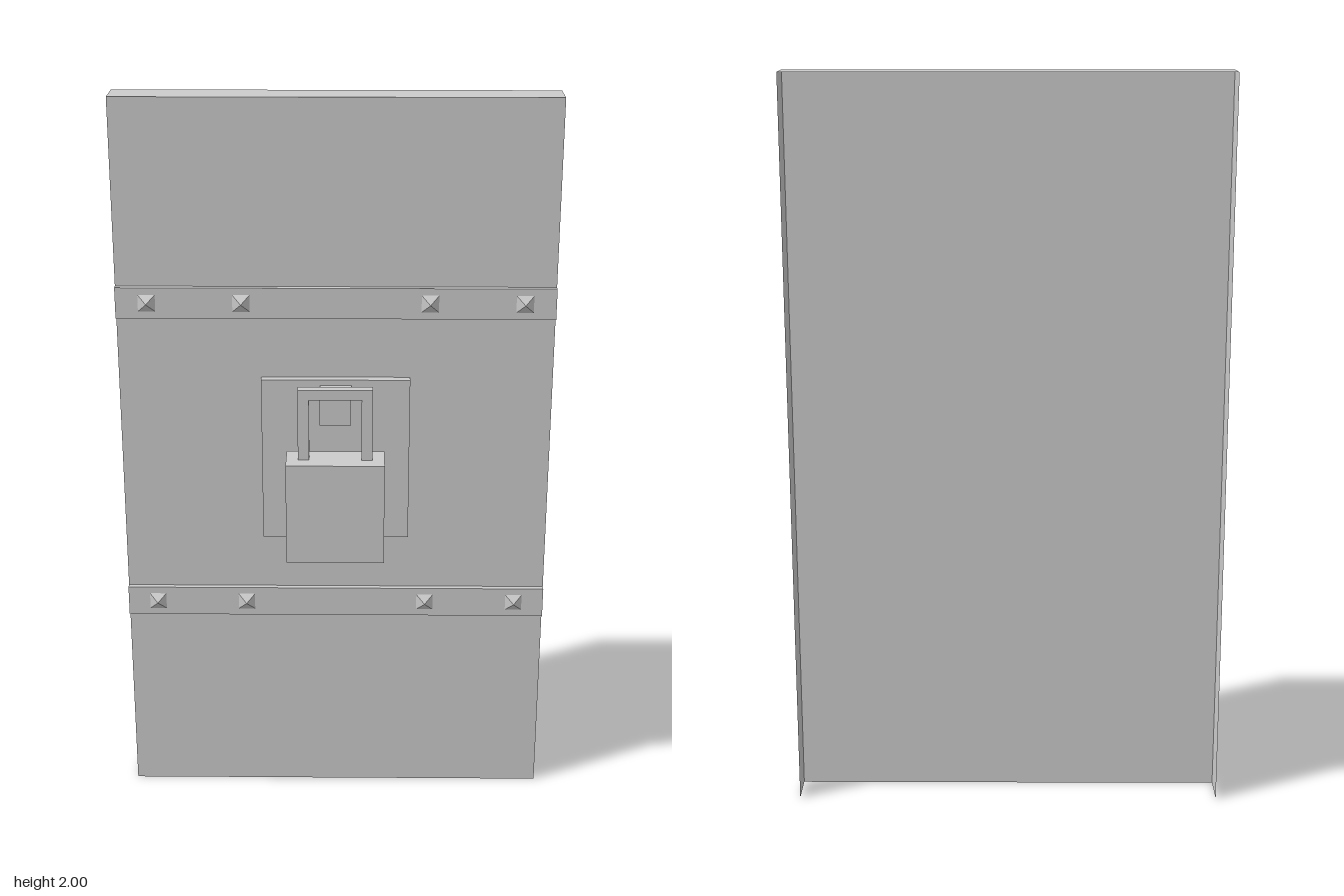
import * as THREE from 'three';

export function createModel() {
  const model = new THREE.Group();
  model.name = 'padlockedDoor';
  const grey = new THREE.MeshStandardMaterial({ color: 0xcccccc, side: THREE.DoubleSide });
  grey.name = 'plain grey';

  const add = (name, geometry, x = 0, y = 0, z = 0, parent = model) => {
    const mesh = new THREE.Mesh(geometry, grey);
    mesh.name = name;
    mesh.position.set(x, y, z);
    parent.add(mesh);
    return mesh;
  };
  // Box given by its width and its y and z ranges, centred on x
  const slab = (name, width, y0, y1, z0, z1, parent) =>
    add(name, new THREE.BoxGeometry(width, y1 - y0, z1 - z0), 0, (y0 + y1) / 2, (z0 + z1) / 2, parent);

  // Door: a thin shell, open at the back and bottom
  const W = 1.166, H = 2, front = -0.025, back = -0.125, depth = front - back;
  const mid = (front + back) / 2;
  const door = new THREE.Group();
  door.name = 'door';
  model.add(door);
  add('doorFront', new THREE.PlaneGeometry(W, H), 0, H / 2, front, door);
  add('doorTop', new THREE.PlaneGeometry(W, depth), 0, H, mid, door).rotation.x = -Math.PI / 2;
  for (const side of [-1, 1]) {
    add(side > 0 ? 'doorLeftEdge' : 'doorRightEdge', new THREE.PlaneGeometry(depth, H),
      side * W / 2, H / 2, mid, door).rotation.y = side * Math.PI / 2;
  }

  // Straps with four pyramid studs each
  const stud = new THREE.ConeGeometry(0.023 * Math.SQRT2, 0.016, 4, 1, true).toNonIndexed();
  stud.rotateY(Math.PI / 4).rotateX(Math.PI / 2);
  stud.computeVertexNormals();
  for (const [name, y] of [['upper', 1.46], ['lower', 0.586]]) {
    slab(name + 'Strap', W, y - 0.042, y + 0.042, front, -0.009);
    for (const x of [-0.5, -0.25, 0.25, 0.5]) add(name + 'Stud', stud, x, y, -0.001);
  }

  // Lock plate and the staple standing out from it
  slab('lockPlate', 0.4, 0.79, 1.25, front, 0);
  slab('staple', 0.084, 1.14, 1.235, 0, 0.052);

  // Padlock: body with a square shackle
  const padlock = new THREE.Group();
  padlock.name = 'padlock';
  model.add(padlock);
  slab('padlockBody', 0.264, 0.77, 1.052, 0.018, 0.125, padlock);
  const outline = [[-0.1, 1.052], [-0.07, 1.052], [-0.07, 1.222], [0.07, 1.222],
    [0.07, 1.052], [0.1, 1.052], [0.1, 1.25], [-0.1, 1.25]];
  const shape = new THREE.Shape(outline.map(([x, y]) => new THREE.Vector2(x, y)));
  add('shackle', new THREE.ExtrudeGeometry(shape, { depth: 0.029, bevelEnabled: false }), 0, 0, 0.054, padlock);

  return model;
}
